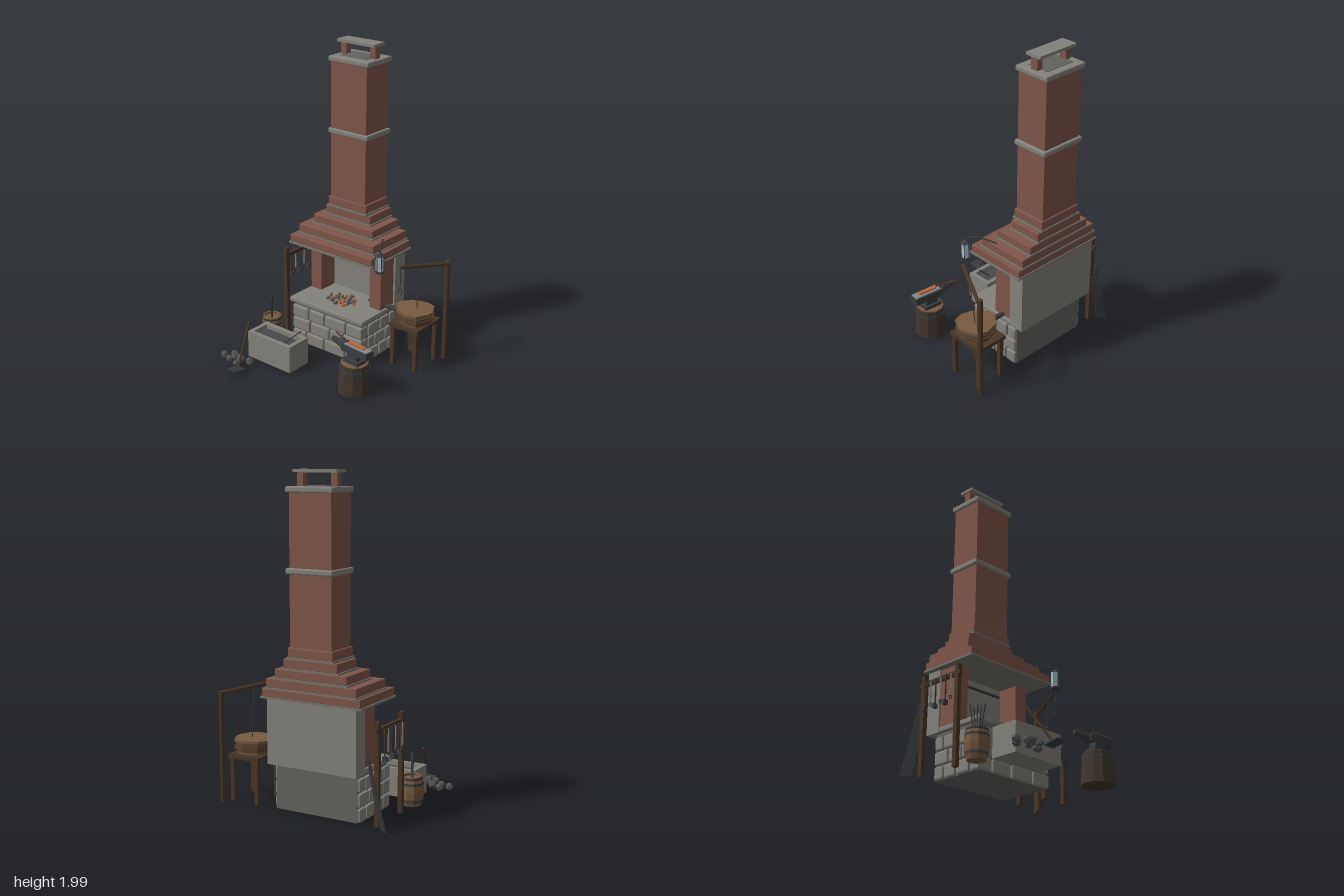
import * as THREE from 'three';
import { RoundedBoxGeometry } from 'three/addons/geometries/RoundedBoxGeometry.js';

const paint = (color, side = THREE.FrontSide) =>
  new THREE.MeshStandardMaterial({ color, flatShading: true, side });
const M = {
  brick: paint(0x80564a), stone: paint(0x84827c), darkStone: paint(0x62625f), mortar: paint(0x77756f),
  wood: paint(0x4a3627), paleWood: paint(0x765b40), leather: paint(0x59422e), iron: paint(0x3b3d40),
  steel: paint(0x85878a), coal: paint(0x545454), ember: paint(0xc4602a), glass: paint(0xa9bfc8),
  water: paint(0x47484a), stump: paint(0x41362e),
};
const V = (x, y, z) => new THREE.Vector3(x, y, z);

function add(parent, name, geo, mat, pos) {
  const m = new THREE.Mesh(geo, mat);
  m.name = name;
  if (pos) m.position.copy(pos);
  parent.add(m);
  return m;
}
// Box from its extents, with an optional bevel
function box(parent, name, x0, x1, y0, y1, z0, z1, mat, bevel = 0) {
  const s = [x1 - x0, y1 - y0, z1 - z0];
  const geo = bevel ? new RoundedBoxGeometry(...s, 1, bevel) : new THREE.BoxGeometry(...s);
  return add(parent, name, geo, mat, V((x0 + x1) / 2, (y0 + y1) / 2, (z0 + z1) / 2));
}
// Straight bar between two points
function rod(parent, name, a, b, r, mat, sides = 6, rEnd = r) {
  const d = b.clone().sub(a);
  const m = add(parent, name, new THREE.CylinderGeometry(rEnd, r, d.length(), sides), mat, a.clone().add(b).multiplyScalar(0.5));
  m.quaternion.setFromUnitVectors(V(0, 1, 0), d.normalize());
  return m;
}
function part(parent, name) {
  const g = new THREE.Group();
  g.name = name;
  parent.add(g);
  return g;
}

function buildHearth(root) {
  const g = part(root, 'hearth');
  box(g, 'baseCore', -0.355, 0.19, 0.012, 0.3, -0.45, -0.095, M.darkStone);
  // Three staggered courses of stone blocks on front and sides
  const cuts = [[0, 0.2, 0.46, 0.76, 1], [0, 0.26, 0.54, 0.73, 1], [0, 0.24, 0.47, 0.77, 1]];
  const sideCuts = [[0, 0.38, 0.72, 1], [0, 0.22, 0.6, 1], [0, 0.42, 0.75, 1]];
  const x0 = -0.373, x1 = 0.204, z0 = -0.45, z1 = -0.08, gap = 0.004;
  for (let c = 0; c < 3; c++) {
    const y = 0.013 + c * 0.088, top = y + 0.081;
    for (let i = 0; i < 4; i++) {
      box(g, 'frontBlock', x0 + (x1 - x0) * cuts[c][i] + gap, x0 + (x1 - x0) * cuts[c][i + 1] - gap, y, top, z1 - 0.07, z1, M.stone, 0.01);
    }
    for (let i = 0; i < 3; i++) {
      const a = z1 - 0.075 + (z0 - z1 + 0.075) * sideCuts[c][i] - gap;
      const b = z1 - 0.075 + (z0 - z1 + 0.075) * sideCuts[c][i + 1] + gap;
      box(g, 'rightBlock', x0, x0 + 0.06, y, top, b, a, M.stone, 0.01);
      box(g, 'leftBlock', x1 - 0.06, x1, y, top, b, a, M.stone, 0.01);
    }
  }
  box(g, 'hearthSlab', -0.382, 0.215, 0.295, 0.325, -0.5, -0.067, M.stone, 0.006);
  box(g, 'backWall', -0.383, 0.213, 0.295, 0.7, -0.512, -0.41, M.stone);
  box(g, 'rightPillar', -0.37, -0.285, 0.325, 0.7, -0.415, -0.275, M.brick);
  box(g, 'leftPillar', 0.113, 0.2, 0.325, 0.7, -0.415, -0.275, M.brick);
  box(g, 'fireBar', -0.262, 0.095, 0.632, 0.644, -0.41, -0.398, M.iron);
  // Bed of coals
  for (let i = 0; i < 26; i++) {
    const t = i * 2.4, r = Math.sqrt(i / 26);
    const m = add(g, i % 3 ? 'coal' : 'ember', new THREE.DodecahedronGeometry(0.014 + 0.004 * Math.sin(i * 5)),
      i % 3 ? M.coal : M.ember, V(-0.08 + 0.115 * r * Math.cos(t), 0.331, -0.24 + 0.075 * r * Math.sin(t)));
    m.rotation.set(i, i * 2, 0);
    m.scale.y = 0.8;
  }
}

function buildChimney(root) {
  const g = part(root, 'chimney');
  // Stepped hood: xMin, xMax, front z, bottom y, top y
  const steps = [
    [-0.41, 0.247, -0.113, 0.695, 0.747], [-0.385, 0.217, -0.17, 0.752, 0.807], [-0.322, 0.155, -0.24, 0.815, 0.869],
    [-0.263, 0.095, -0.3 + 0.005, 0.877, 0.934], [-0.235, 0.065, -0.288, 0.942, 1.0],
  ];
  steps.forEach(([x0, x1, z, y0, y1]) => {
    box(g, 'hoodStep', x0, x1, y0, y1, -0.515, z, M.brick, 0.005);
    box(g, 'hoodMortar', x0 - 0.007, x1 + 0.007, y0 - 0.009, y0 + 0.003, -0.52, z + 0.007, M.mortar);
  });
  box(g, 'shaft', -0.222, 0.052, 0.99, 1.89, -0.507, -0.295, M.brick);
  for (const y of [1.418, 1.872]) box(g, 'stoneBand', -0.238, 0.07, y, y + 0.034, -0.524, -0.284, M.stone, 0.008);
  box(g, 'flueOpening', -0.187, 0.018, 1.9, 1.909, -0.477, -0.335, M.darkStone);
  for (const x of [-0.215, 0.008]) box(g, 'capPost', x, x + 0.04, 1.9, 1.986, -0.43, -0.383, M.brick);
  box(g, 'capSlab', -0.226, 0.058, 1.982, 2.0, -0.46, -0.355, M.stone);
}

function buildTrough(root) {
  const g = part(root, 'quenchTrough');
  const s = new THREE.Shape([[-0.176, -0.088], [0.176, -0.088], [0.176, 0.088], [-0.176, 0.088]].map(p => new THREE.Vector2(...p)));
  s.holes.push(new THREE.Path([[-0.148, -0.06], [-0.148, 0.06], [0.148, 0.06], [0.148, -0.06]].map(p => new THREE.Vector2(...p))));
  const wall = add(g, 'troughWall', new THREE.ExtrudeGeometry(s, { depth: 0.178, bevelEnabled: false }), M.stone, V(-0.261, 0.012, 0.188));
  wall.rotation.x = -Math.PI / 2;
  box(g, 'troughFloor', -0.41, -0.11, 0.012, 0.04, 0.127, 0.25, M.stone);
  box(g, 'water', -0.41, -0.11, 0.04, 0.16, 0.127, 0.25, M.water);
  rod(g, 'poker', V(-0.19, 0.16, 0.2), V(-0.077, 0.268, 0.172), 0.004, M.iron);
}

function buildBarrel(root) {
  const g = part(root, 'barrel');
  g.position.set(-0.469, 0, 0.012);
  const pts = [[0, 0.012], [0.055, 0.012], [0.07, 0.06], [0.073, 0.1], [0.07, 0.145], [0.06, 0.193], [0.05, 0.193], [0.05, 0.178], [0, 0.178]];
  add(g, 'staves', new THREE.LatheGeometry(pts.map(p => new THREE.Vector2(...p)), 10), M.paleWood);
  for (const [y, r] of [[0.045, 0.069], [0.15, 0.072], [0.182, 0.066]])
    add(g, 'hoop', new THREE.CylinderGeometry(r, r, 0.014, 10, 1, true), paint(0x3b3d40, THREE.DoubleSide), V(0, y, 0));
  for (let i = 0; i < 5; i++) {
    const t = (i - 2) / 2;
    rod(g, 'ironStock', V(0.01 * t, 0.15, 0.012 * t), V(0.024 * t, 0.335 - 0.012 * (i % 2), 0.036 * t), 0.0045, M.iron, 5);
  }
}

function buildAnvil(root) {
  const g = part(root, 'anvilAndStump');
  g.position.set(0.347, 0, 0.172);
  add(g, 'stump', new THREE.CylinderGeometry(0.09, 0.104, 0.19, 11), M.stump, V(0, 0.107, 0));
  add(g, 'stumpTop', new THREE.CylinderGeometry(0.084, 0.084, 0.004, 11), M.paleWood, V(0, 0.203, 0));
  add(g, 'stumpHoop', new THREE.CylinderGeometry(0.096, 0.097, 0.018, 11), M.iron, V(0, 0.165, 0));
  const a = part(g, 'anvil');
  a.rotation.y = -0.09;
  box(a, 'foot', -0.06, 0.06, 0.203, 0.227, -0.042, 0.042, M.iron);
  const waist = add(a, 'waist', new THREE.CylinderGeometry(0.055, 0.06, 0.05, 4, 1), M.iron, V(0, 0.25, 0));
  waist.geometry.rotateY(Math.PI / 4);
  waist.scale.z = 0.65;
  box(a, 'body', -0.08, 0.122, 0.265, 0.31, -0.034, 0.034, M.iron);
  box(a, 'face', -0.065, 0.118, 0.308, 0.315, -0.027, 0.027, M.steel);
  rod(a, 'horn', V(-0.075, 0.288, 0), V(-0.185, 0.299, 0), 0.03, M.iron, 8, 0.014);
  box(a, 'hotBar', -0.045, 0.078, 0.315, 0.324, -0.011, 0.011, M.ember);
  rod(a, 'hammerHandle', V(-0.195, 0.32, -0.04), V(-0.05, 0.324, 0.006), 0.006, M.wood);
}

function buildBellows(root) {
  const g = part(root, 'bellowsTable');
  box(g, 'tableTop', 0.308, 0.524, 0.278, 0.302, -0.475, -0.22, M.wood);
  for (const x of [0.318, 0.489]) for (const z of [-0.465, -0.255])
    box(g, 'tableLeg', x, x + 0.026, 0.01, 0.28, z, z + 0.026, M.wood);
  const b = part(g, 'bellows');
  b.position.set(0.415, 0, -0.342);
  // Pear-shaped outline narrowing towards the fire
  const outline = k => new THREE.Shape([[-0.122, -0.022], [-0.075, -0.088], [0.02, -0.117], [0.085, -0.1], [0.125, -0.02],
    [0.125, 0.02], [0.085, 0.1], [0.02, 0.117], [-0.075, 0.088], [-0.122, 0.022]].map(p => new THREE.Vector2(p[0] * k, p[1] * k)));
  const layers = [[0.302, 0.012, 0.84, M.paleWood], [0.314, 0.016, 0.92, M.leather], [0.33, 0.016, 1, M.leather],
    [0.346, 0.014, 0.94, M.leather], [0.36, 0.014, 0.85, M.leather], [0.374, 0.016, 1, M.paleWood]];
  for (const [y, depth, k, mat] of layers) {
    const m = add(b, mat === M.leather ? 'leatherFold' : 'bellowsBoard', new THREE.ExtrudeGeometry(outline(k), { depth, bevelEnabled: false }), mat, V(0, y, 0));
    m.rotation.x = -Math.PI / 2;
  }
  rod(g, 'nozzle', V(0.31, 0.338, -0.342), V(0.06, 0.335, -0.34), 0.018, M.iron, 8, 0.009);

  // Crane post, arm, pull chain and hook ring
  const c = part(root, 'bellowsCrane');
  rod(c, 'cranePost', V(0.543, 0.008, -0.507), V(0.543, 0.69, -0.507), 0.017, M.wood, 7);
  rod(c, 'craneArm', V(0.555, 0.678, -0.505), V(0.397, 0.71, -0.205), 0.012, M.wood, 6);
  rod(c, 'pullChain', V(0.447, 0.69, -0.31), V(0.435, 0.39, -0.345), 0.003, M.iron, 5);
  rod(c, 'hookLine', V(0.4, 0.71, -0.205), V(0.4, 0.568, -0.205), 0.003, M.iron, 5);
  add(c, 'pullRing', new THREE.TorusGeometry(0.017, 0.004, 5, 10), M.iron, V(0.4, 0.55, -0.205));
  for (const s of [-1, 1]) rod(c, 'hangingTongs', V(0.465 + s * 0.003, 0.28, -0.213), V(0.465 + s * 0.009, 0.165, -0.21), 0.003, M.iron, 5);
}

function buildLantern(root) {
  const g = part(root, 'lantern');
  const path = [V(0.205, 0.815, -0.285), V(0.262, 0.842, -0.19), V(0.302, 0.815, -0.122)];
  rod(g, 'bracketArm', path[0], path[1], 0.005, M.iron);
  rod(g, 'bracketTip', path[1], path[2], 0.005, M.iron);
  const l = part(g, 'lanternBody');
  l.position.set(0.302, 0, -0.122);
  add(l, 'roof', new THREE.ConeGeometry(0.034, 0.028, 6), M.iron, V(0, 0.8, 0));
  add(l, 'glass', new THREE.CylinderGeometry(0.024, 0.024, 0.1, 6), M.glass, V(0, 0.736, 0));
  add(l, 'lanternBase', new THREE.CylinderGeometry(0.03, 0.028, 0.012, 6), M.iron, V(0, 0.682, 0));
  for (let i = 0; i < 6; i++) {
    const x = 0.027 * Math.sin(i * Math.PI / 3), z = 0.027 * Math.cos(i * Math.PI / 3);
    rod(l, 'cageBar', V(x, 0.682, z), V(x, 0.79, z), 0.0035, M.iron, 4);
  }
}

function buildToolRack(root) {
  const g = part(root, 'toolRack');
  for (const z of [-0.435, -0.148]) box(g, 'rackPost', -0.49, -0.463, 0.01, 0.618, z - 0.014, z + 0.014, M.wood);
  box(g, 'rackBeam', -0.487, -0.466, 0.553, 0.579, -0.465, -0.123, M.wood);
  for (let i = 0; i < 6; i++) {
    const z = -0.395 + i * 0.043, heavy = i % 2 === 0, low = heavy ? 0.405 : 0.43;
    rod(g, 'peg', V(-0.48, 0.56, z), V(-0.506, 0.566, z), 0.004, M.iron, 5);
    rod(g, 'toolHandle', V(-0.501, 0.565, z), V(-0.501, low, z), 0.005, heavy ? M.wood : M.steel, 5);
    if (heavy) box(g, 'hammerHead', -0.518, -0.489, low - 0.02, low + 0.008, z - 0.009, z + 0.009, M.iron);
    else add(g, 'toolLoop', new THREE.TorusGeometry(0.011, 0.003, 4, 8), M.iron, V(-0.501, low - 0.01, z)).rotation.y = Math.PI / 2;
  }
  // Iron bars leaning in a row beside the rack
  for (let i = 0; i < 5; i++)
    rod(g, 'leaningBar', V(-0.565 + i * 0.011, 0.012, -0.505 + i * 0.008), V(-0.448, 0.47 - i * 0.035, -0.505 + i * 0.008), 0.006, M.iron, 4);
}

function buildCoalPile(root) {
  const g = part(root, 'coalPile');
  const lumps = [[-0.543, 0.385], [-0.495, 0.342], [-0.48, 0.405], [-0.433, 0.37], [-0.407, 0.423], [-0.353, 0.355], [-0.445, 0.398], [-0.4, 0.385]];
  lumps.forEach(([x, z], i) => {
    const m = add(g, 'coalLump', new THREE.DodecahedronGeometry(0.025 + 0.004 * Math.sin(i * 3)), M.coal, V(x, i > 5 ? 0.055 : 0.034, z));
    m.rotation.set(i * 1.3, i * 0.7, i);
  });
  // Shovel resting on its blade
  rod(g, 'shovelHandle', V(-0.35, 0.05, 0.458), V(-0.4, 0.282, 0.298), 0.008, M.wood);
  box(g, 'shovelBlade', -0.386, -0.316, 0.03, 0.037, 0.432, 0.524, M.iron).rotation.x = -0.2;
}

export function createModel() {
  const root = new THREE.Group();
  root.name = 'forge';
  [buildHearth, buildChimney, buildTrough, buildBarrel, buildAnvil, buildBellows, buildLantern, buildToolRack, buildCoalPile]
    .forEach(build => build(root));
  return root;
}
